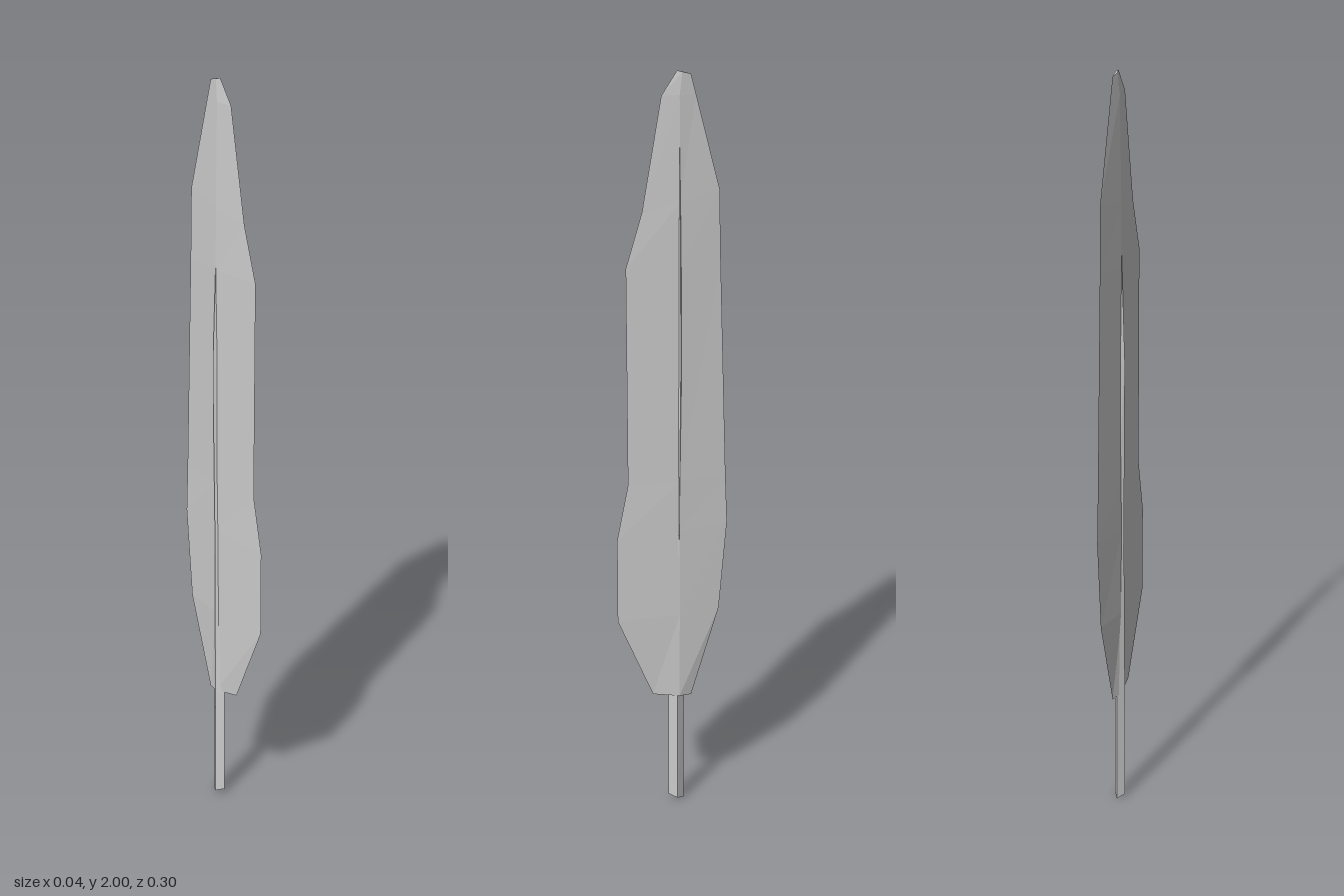
import * as THREE from 'three';

// Skins a stack of four-cornered rings (listed bottom to top) and caps both ends.
// Ring corners run front (+z), +x, back (-z), -x.
function loft(rings) {
  const index = [];
  for (let r = 0; r < rings.length - 1; r++) {
    for (let i = 0; i < 4; i++) {
      const a = r * 4 + i, b = r * 4 + (i + 1) % 4;
      index.push(a, b, b + 4, a, b + 4, a + 4);
    }
  }
  const top = (rings.length - 1) * 4;
  index.push(0, 2, 1, 0, 3, 2, top, top + 1, top + 2, top, top + 2, top + 3);
  const geometry = new THREE.BufferGeometry();
  geometry.setAttribute('position', new THREE.Float32BufferAttribute(rings.flat(2), 3));
  geometry.setIndex(index);
  const flat = geometry.toNonIndexed();
  flat.computeVertexNormals();
  return flat;
}

export function createModel() {
  const group = new THREE.Group();
  group.name = 'feather';
  const material = new THREE.MeshStandardMaterial({
    color: 0xcccccc, flatShading: true, side: THREE.DoubleSide,
  });
  const add = (name, rings) => {
    const mesh = new THREE.Mesh(loft(rings), material);
    mesh.name = name;
    group.add(mesh);
  };

  // Vane: front edge y, z; back edge y, z; half thickness at the spine
  const vane = [
    [0.325, 0.055, 0.31, -0.05, 0.011],
    [0.55, 0.15, 0.555, -0.125, 0.012],
    [0.78, 0.15, 0.80, -0.146, 0.012],
    [0.93, 0.12, 0.93, -0.141, 0.012],
    [1.51, 0.122, 1.51, -0.124, 0.011],
    [1.65, 0.08, 1.695, -0.12, 0.01],
    [1.94, 0.03, 1.94, -0.058, 0.006],
    [2.0, -0.01, 1.99, -0.045, 0.003],
  ];
  add('vane', vane.map(([yF, zF, yB, zB, t]) => {
    const z = Math.min(-0.015, (zF + zB) / 2 + 0.005);
    const y = THREE.MathUtils.mapLinear(z, zF, zB, yF, yB);
    return [[0, yF, zF], [t, y, z], [0, yB, zB], [-t, y, z]];
  }));

  // Quill: y, centre x, centre z, half width x, half depth z, end slant
  const quill = [
    [0.008, -0.004, -0.01, 0.015, 0.021, 0.008],
    [0.31, -0.004, -0.01, 0.014, 0.021, 0],
    [0.8, -0.002, -0.013, 0.0145, 0.016, 0],
    [1.25, -0.002, -0.016, 0.018, 0.013, 0],
    [1.55, 0.002, -0.015, 0.0125, 0.009, 0],
    [1.83, 0.004, -0.014, 0.004, 0.004, 0],
  ];
  add('quill', quill.map(([y, x, z, w, d, s]) => [
    [x, y + s, z + d], [x + w, y, z], [x, y - s, z - d], [x - w, y, z],
  ]));

  return group;
}
